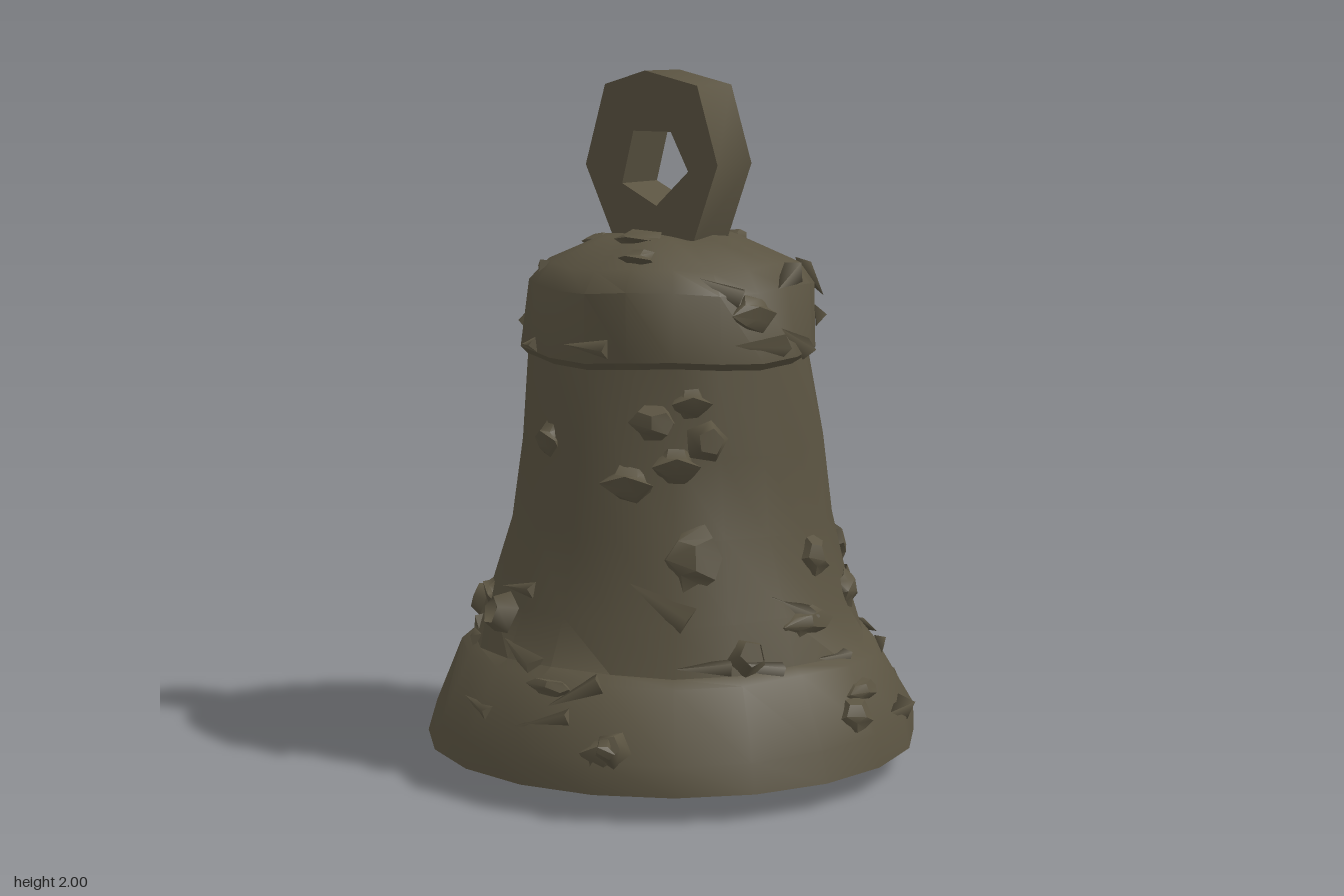
import * as THREE from 'three';
import { toCreasedNormals } from 'three/addons/utils/BufferGeometryUtils.js';

const bronze = new THREE.MeshStandardMaterial({ color: 0x5a5341 });
bronze.name = 'agedBronze';
bronze.side = THREE.DoubleSide;

// Outer wall from crown to lip, as [radius, height]
const OUTER = [[0, 1.54], [0.2, 1.53], [0.36, 1.46], [0.41, 1.4], [0.425, 1.21], [0.405, 1.19],
  [0.435, 0.95], [0.465, 0.72], [0.525, 0.5], [0.57, 0.37], [0.605, 0.35], [0.7, 0.16], [0.715, 0.075]];
const INNER = [[0.68, 0.075], [0.6, 0.26], [0.5, 0.48], [0.43, 0.72], [0.38, 1.18], [0.33, 1.4], [0, 1.46]];

// Outer radius at a height
function radiusAt(y) {
  for (let i = 1; i < OUTER.length; i++) {
    const [r0, y0] = OUTER[i - 1], [r1, y1] = OUTER[i];
    if (y <= y0 && y >= y1) return r0 + (r1 - r0) * (y0 - y) / (y0 - y1);
  }
  return 0.71;
}

// Small seeded generator
let seed = 17;
const rand = () => (seed = (seed * 16807) % 2147483647) / 2147483647;

function add(group, name, geometry) {
  const mesh = new THREE.Mesh(geometry, bronze);
  mesh.name = name;
  group.add(mesh);
  return mesh;
}

// Corroded shell: a lathe with gentle ripples round the wall
function shellGeometry() {
  const pts = [...OUTER, ...INNER].map(([r, y]) => new THREE.Vector2(r, y)).reverse();
  const g = new THREE.LatheGeometry(pts, 20);
  const p = g.attributes.position;
  for (let i = 0; i < p.count; i++) {
    const x = p.getX(i), y = p.getY(i), z = p.getZ(i);
    const a = Math.atan2(x, z), r = Math.hypot(x, z);
    if (r < 0.01 || y < 0.08) continue;
    const n = Math.sin(3 * a + y * 9) + 0.7 * Math.sin(7 * a - y * 13);
    const k = 1 + 0.008 * n / r;
    p.setXYZ(i, x * k, y + 0.007 * Math.sin(5 * a + y * 4), z * k);
  }
  return toCreasedNormals(g, 0.7);
}

// Irregular crust lump
function lumpGeometry() {
  const g = new THREE.DodecahedronGeometry(1, 0);
  const p = g.attributes.position;
  const s = rand() * 6;
  for (let i = 0; i < p.count; i++) {
    const x = p.getX(i), y = p.getY(i), z = p.getZ(i);
    const k = 0.85 + 0.25 * Math.sin(4 * x + s) * Math.cos(5 * y + 3 * z + s);
    p.setXYZ(i, x * k, y * k, z * k);
  }
  return toCreasedNormals(g, 0.9);
}

// Place a mesh on the wall, its own z pointing outward
function onWall(mesh, angle, y, depth) {
  const r = radiusAt(y) + depth;
  mesh.position.set(Math.sin(angle) * r, y, Math.cos(angle) * r);
  const slope = Math.atan2(radiusAt(y - 0.06) - radiusAt(y + 0.06), 0.12);
  mesh.rotation.set(-slope, angle, 0, 'YXZ');
}

export function createModel() {
  const group = new THREE.Group();
  group.name = 'bell';
  add(group, 'shell', shellGeometry());

  // Hanging loop
  const loop = new THREE.Shape([[-0.03, 2], [-0.17, 1.96], [-0.24, 1.73], [-0.13, 1.5], [0.13, 1.5],
    [0.22, 1.74], [0.15, 1.96]].map(([x, y]) => new THREE.Vector2(x, y)));
  loop.holes.push(new THREE.Path([[-0.07, 1.83], [0.06, 1.83], [0.12, 1.72], [0.01, 1.62],
    [-0.11, 1.68]].map(([x, y]) => new THREE.Vector2(x, y))));
  const loopGeo = new THREE.ExtrudeGeometry(loop, { depth: 0.17, bevelEnabled: false });
  loopGeo.translate(0, 0, -0.082);
  add(group, 'hangingLoop', toCreasedNormals(loopGeo, 1.1));

  // Clapper
  const clapper = [[0, 0], [0.05, 0.02], [0.09, 0.07], [0.09, 0.16], [0.075, 0.4], [0.05, 0.9], [0.04, 1.45]];
  add(group, 'clapper', new THREE.LatheGeometry(clapper.map(([r, y]) => new THREE.Vector2(r, y)), 8));

  // Crust lumps: angle from front towards +x, height, width, tall, thick
  const lumps = [
    [0.5, 1.05, 0.08, 0.06, 0.045], [0.75, 1.1, 0.06, 0.05, 0.04], [0.35, 0.88, 0.08, 0.06, 0.04],
    [0.65, 0.93, 0.07, 0.06, 0.045], [0.75, 0.68, 0.1, 0.11, 0.04], [0.33, 0.18, 0.06, 0.05, 0.03],
    [-1.5, 0.62, 0.06, 0.06, 0.05], [1.6, 0.65, 0.06, 0.07, 0.04], [1.5, 0.23, 0.07, 0.06, 0.04],
    [1.2, 1.34, 0.08, 0.06, 0.03], [0.05, 0.33, 0.09, 0.03, 0.035], [-0.3, 0.98, 0.05, 0.06, 0.035],
    [1.4, 0.48, 0.12, 0.05, 0.035], [1.6, 0.28, 0.09, 0.04, 0.03], [3.1, 1.05, 0.06, 0.09, 0.04],
    [3.3, 0.82, 0.07, 0.09, 0.03], [3.05, 0.38, 0.09, 0.05, 0.035], [3.1, 0.22, 0.07, 0.05, 0.04],
    [2.4, 0.62, 0.07, 0.08, 0.04], [2.0, 0.52, 0.08, 0.06, 0.03], [-2.4, 0.55, 0.09, 0.06, 0.04],
    [-2.1, 0.68, 0.06, 0.08, 0.04], [-2.0, 0.95, 0.06, 0.07, 0.035], [-0.9, 0.5, 0.09, 0.04, 0.03],
    [-1.9, 0.4, 0.1, 0.04, 0.03], [3.6, 1.42, 0.08, 0.04, 0.03],
  ];
  for (const [a, y, w, h, d] of lumps) {
    const mesh = add(group, 'crustLump', lumpGeometry());
    mesh.scale.set(w, h, d);
    onWall(mesh, a, y, 0);
  }

  // Open barnacle cups: angle, height, size, twist
  const cups = [[-0.48, 0.48, 0.055, 0.78], [0.38, 0.2, 0.045, 0.2], [0.85, 1.0, 0.05, 0.4],
    [-2.6, 0.66, 0.055, 0.7], [2.7, 0.6, 0.05, 0.3], [-1.1, 0.45, 0.05, 0.5], [1.0, 0.42, 0.05, 1]];
  for (const [a, y, s, twist] of cups) {
    const g = new THREE.CylinderGeometry(s * 0.75, s * 1.3, 0.06, 5, 1, true);
    g.rotateY(twist).rotateX(Math.PI / 2);
    onWall(add(group, 'barnacleCup', g), a, y, 0.015);
  }

  // Torn flakes of corrosion scattered over bands of the wall
  for (const [y, count] of [[1.42, 6], [1.26, 9], [0.55, 7], [0.36, 14], [0.22, 6]]) {
    for (let i = 0; i < count; i++) {
      const g = new THREE.ConeGeometry(0.025 + 0.025 * rand(), 0.12 + 0.08 * rand(), 3);
      g.scale(1, 1, 0.6).rotateZ(Math.PI / 2 + (rand() - 0.5) * 1.2);
      onWall(add(group, 'corrosionFlake', g), (i + rand()) / count * Math.PI * 2, y + (rand() - 0.5) * 0.08, 0.003);
    }
  }

  // Rough patches on the crown
  for (const [x, z, s] of [[-0.3, -0.05, 0.06], [0.05, -0.25, 0.05], [0.02, 0.18, 0.07], [0.1, 0.3, 0.06]]) {
    const mesh = add(group, 'crownLump', lumpGeometry());
    mesh.scale.set(s, 0.03, s);
    mesh.position.set(x, 1.535 - 0.3 * Math.max(0, Math.hypot(x, z) - 0.17), z);
  }
  return group;
}
